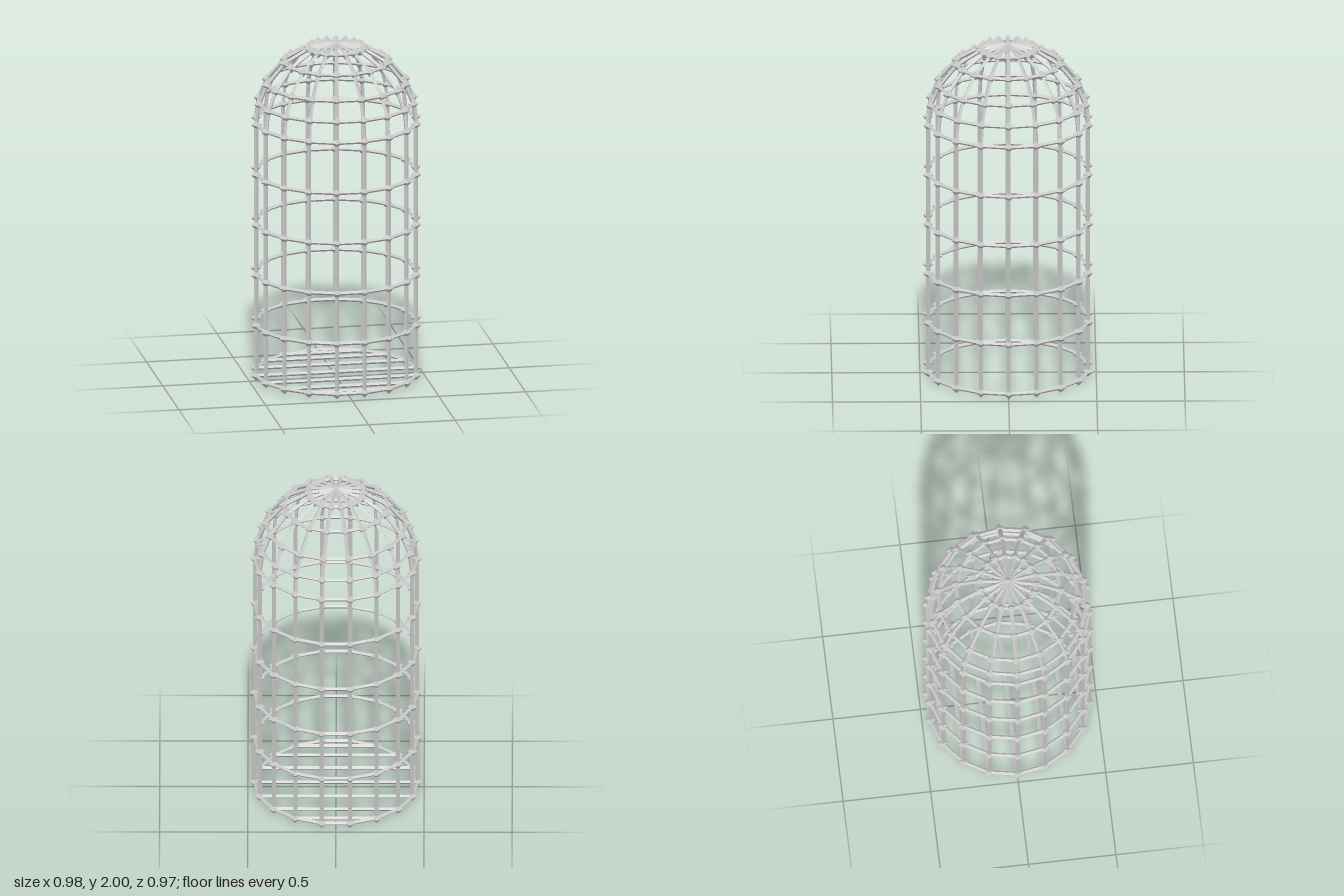
import * as THREE from 'three';
import { mergeGeometries } from 'three/addons/utils/BufferGeometryUtils.js';

const SIDES = 18, RADIUS = 0.46, BASE = 0.03, SHOULDER = 1.512;
const BAR = 0.0115, NODE = 0.03;

// Four-sided rod between two points, one ridge facing up
function rod(a, b) {
  const geometry = new THREE.CylinderGeometry(BAR, BAR, a.distanceTo(b), 4);
  geometry.rotateX(Math.PI / 2);
  const frame = new THREE.Object3D();
  frame.position.copy(a).add(b).multiplyScalar(0.5);
  frame.lookAt(b);
  frame.updateMatrix();
  return geometry.applyMatrix4(frame.matrix);
}

// Small octahedral joint
function joint(p) {
  return new THREE.OctahedronGeometry(NODE).translate(p.x, p.y, p.z);
}

export function createModel() {
  const cage = new THREE.Group();
  cage.name = 'domedCage';
  const material = new THREE.MeshStandardMaterial({ color: 0xcccccc, flatShading: true });
  const add = (name, geometries) => {
    const mesh = new THREE.Mesh(mergeGeometries(geometries), material);
    mesh.name = name;
    cage.add(mesh);
  };

  // Ring levels: straight wall, then a hemispherical dome
  const levels = [];
  for (let i = 0; i <= 5; i++) {
    levels.push([RADIUS, BASE + (SHOULDER - BASE) * i / 5]);
  }
  for (const degrees of [15, 30, 50, 70]) {
    const t = THREE.MathUtils.degToRad(degrees);
    levels.push([RADIUS * Math.cos(t), SHOULDER + RADIUS * Math.sin(t)]);
  }
  const rings = levels.map(([r, y]) => Array.from({ length: SIDES }, (_, i) => {
    const a = i / SIDES * Math.PI * 2;
    return new THREE.Vector3(r * Math.cos(a), y, r * Math.sin(a));
  }));
  const apex = new THREE.Vector3(0, 2 - NODE, 0);

  const hoops = [], wallBars = [], domeRibs = [], joints = [joint(apex)];
  rings.forEach((ring, level) => {
    ring.forEach((p, i) => {
      hoops.push(rod(p, ring[(i + 1) % SIDES]));
      joints.push(joint(p));
      const above = level + 1 < rings.length ? rings[level + 1][i] : apex;
      (level < 5 ? wallBars : domeRibs).push(rod(p, above));
    });
  });

  // Floor bars run from side to side between opposite base joints
  const floorBars = [];
  for (let i = -3; i <= 3; i++) {
    const right = rings[0][(i + SIDES) % SIDES];
    floorBars.push(rod(new THREE.Vector3(-right.x, right.y, right.z), right));
  }

  add('hoops', hoops);
  add('wallBars', wallBars);
  add('domeRibs', domeRibs);
  add('floorBars', floorBars);
  add('joints', joints);
  return cage;
}
